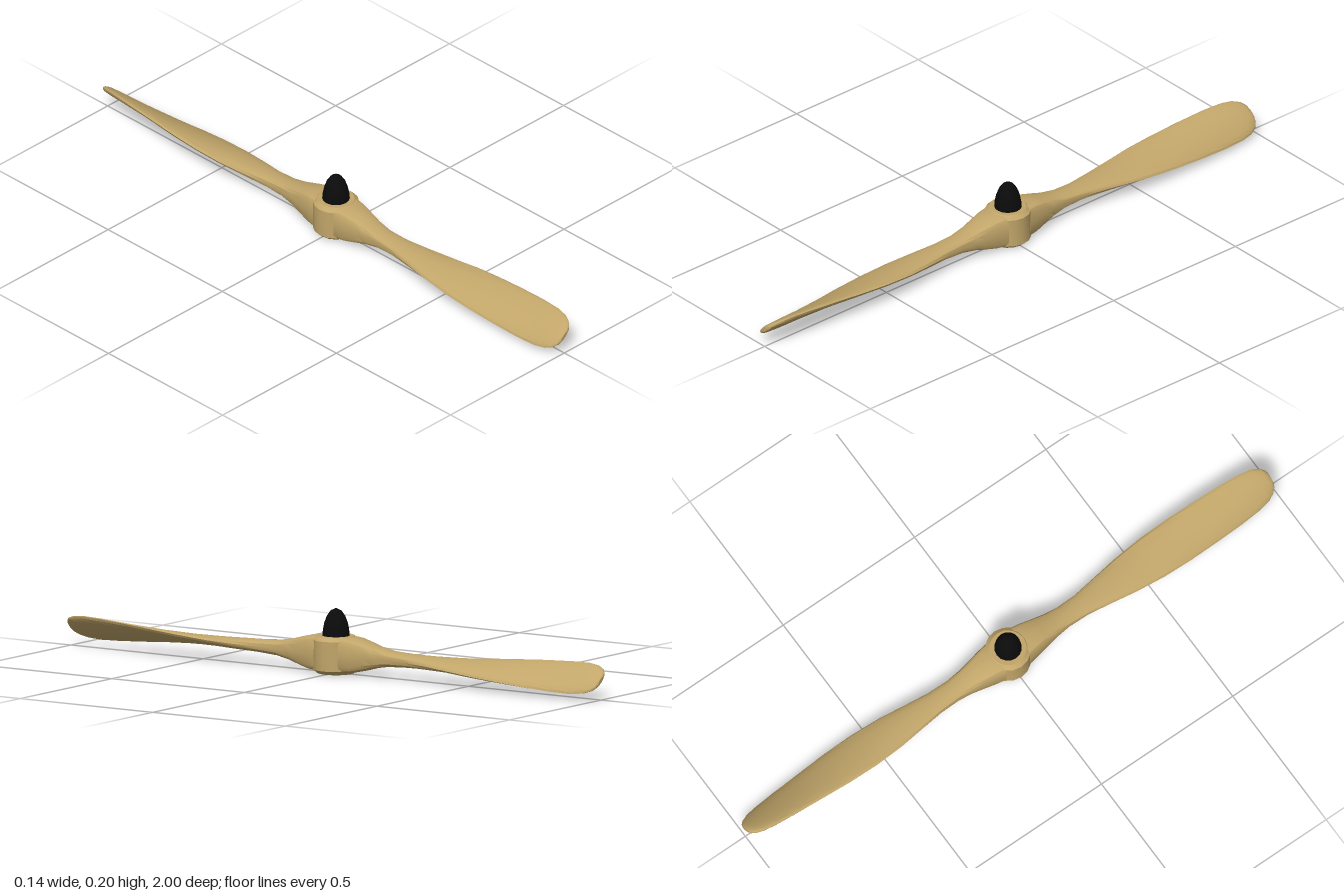
import * as THREE from 'three';
import { toCreasedNormals } from 'three/addons/utils/BufferGeometryUtils.js';

const MID_Y = 0.061;
const SIDES = 16;

// Blade stations: z, half chord, half thickness, pitch in degrees, squareness
const STATIONS = [
  [0.045, 0.057, 0.055, 0, 5],
  [0.08, 0.052, 0.053, 0, 4.5],
  [0.12, 0.045, 0.044, 0, 4],
  [0.16, 0.039, 0.033, 0, 3.5],
  [0.21, 0.035, 0.024, 1, 3],
  [0.28, 0.038, 0.02, 3, 2.6],
  [0.36, 0.049, 0.018, 5, 2.3],
  [0.45, 0.062, 0.016, 9, 2],
  [0.55, 0.071, 0.015, 15, 2],
  [0.65, 0.074, 0.014, 21, 2],
  [0.75, 0.074, 0.013, 28, 2],
  [0.85, 0.073, 0.013, 34, 2],
  [0.92, 0.069, 0.013, 38, 2],
  [0.96, 0.061, 0.012, 39, 2],
  [0.985, 0.047, 0.011, 40, 2],
  [0.996, 0.033, 0.009, 40, 2],
  [1.0, 0.02, 0.006, 40, 2],
];

// Twisted loft through rounded cross-sections, closed at both ends
function bladeGeometry() {
  const pos = [];
  const index = [];
  for (const [z, chord, thick, pitch, n] of STATIONS) {
    const a = THREE.MathUtils.degToRad(pitch);
    for (let j = 0; j < SIDES; j++) {
      const t = (j / SIDES) * Math.PI * 2;
      const c = Math.cos(t), s = Math.sin(t);
      const u = chord * Math.sign(c) * Math.abs(c) ** (2 / n);
      const v = thick * Math.sign(s) * Math.abs(s) ** (2 / n);
      pos.push(u * Math.cos(a) - v * Math.sin(a), MID_Y + u * Math.sin(a) + v * Math.cos(a), z);
    }
  }
  const last = STATIONS.length - 1;
  const root = pos.length / 3;
  pos.push(0, MID_Y, STATIONS[0][0], 0, MID_Y, STATIONS[last][0]);
  for (let j = 0; j < SIDES; j++) {
    const k = (j + 1) % SIDES;
    for (let i = 0; i < last; i++) {
      const a = i * SIDES + j, b = i * SIDES + k;
      index.push(a, b, b + SIDES, a, b + SIDES, a + SIDES);
    }
    index.push(root, k, j, root + 1, last * SIDES + j, last * SIDES + k);
  }
  const geo = new THREE.BufferGeometry();
  geo.setAttribute('position', new THREE.Float32BufferAttribute(pos, 3));
  geo.setIndex(index);
  return toCreasedNormals(geo, 0.5);
}

function lathe(points, segments, crease) {
  const geo = new THREE.LatheGeometry(points.map(([x, y]) => new THREE.Vector2(x, y)), segments);
  return toCreasedNormals(geo, crease);
}

export function createModel() {
  const group = new THREE.Group();
  group.name = 'propeller';
  const wood = new THREE.MeshStandardMaterial({ color: 0xc2a66a });
  wood.name = 'varnished wood';
  const black = new THREE.MeshStandardMaterial({ color: 0x0b0b0b });
  black.name = 'black';

  const add = (name, geo, mat) => {
    const mesh = new THREE.Mesh(geo, mat);
    mesh.name = name;
    group.add(mesh);
    return mesh;
  };

  // Two identical blades, half a turn apart
  const blade = bladeGeometry();
  add('frontBlade', blade, wood);
  add('backBlade', blade, wood).rotation.y = Math.PI;

  // Chamfered hub with a shaft hole through it
  add('hub', lathe([
    [0.041, 0.002], [0.058, 0], [0.072, 0.012], [0.072, 0.105],
    [0.058, 0.117], [0.041, 0.117], [0.041, 0.002],
  ], 16, 0.5), wood);

  // Pointed spinner cap on top of the hub
  add('spinner', lathe([
    [0, 0.115], [0.043, 0.115], [0.0415, 0.135], [0.037, 0.157],
    [0.029, 0.178], [0.017, 0.195], [0, 0.203],
  ], 16, 0.6), black);

  return group;
}
